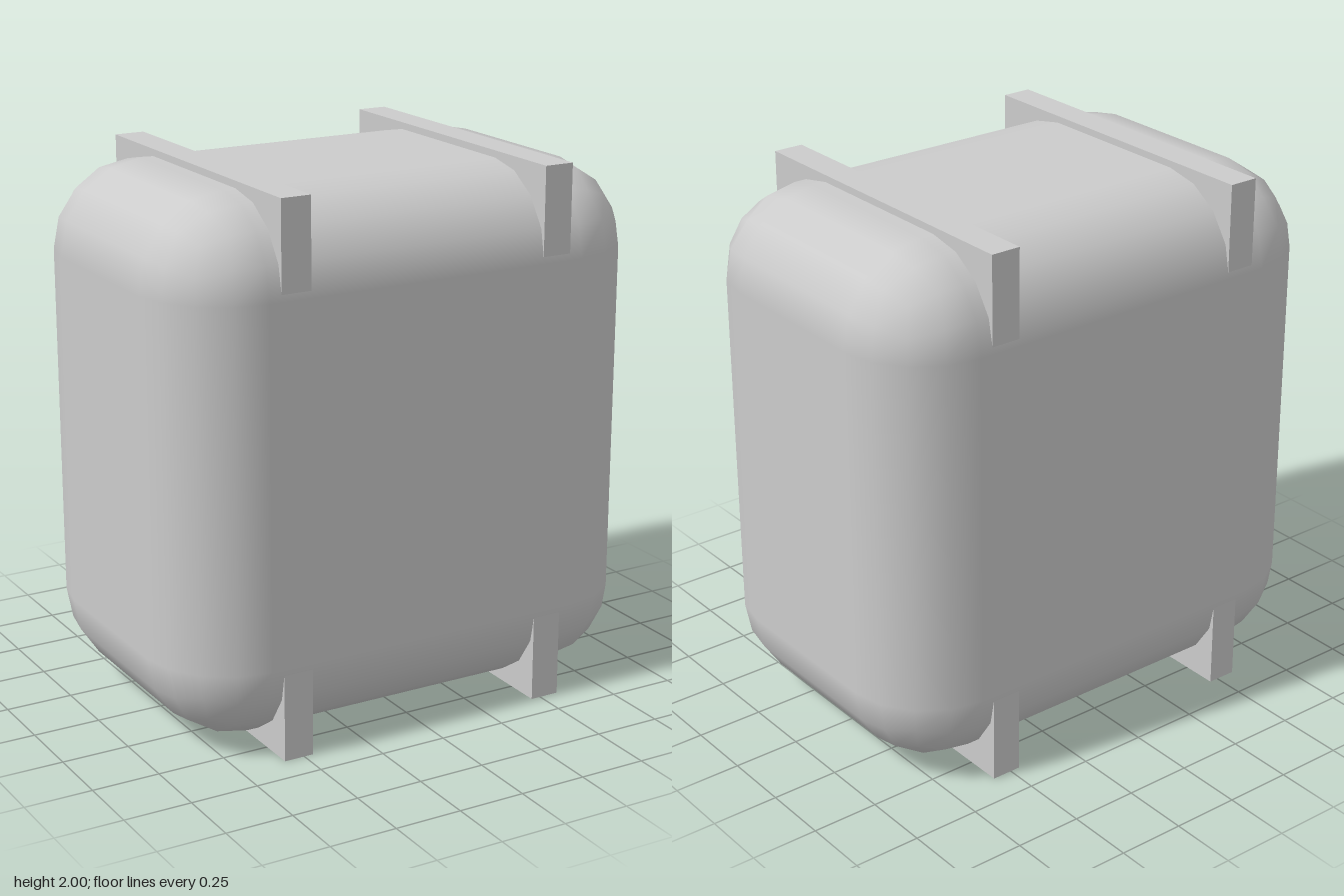
import * as THREE from 'three';

const material = new THREE.MeshStandardMaterial({ color: 0xcccccc });

// Rounded block with four equal-angle facets round every edge and smooth normals
function roundedBlock(hx, hy, hz, radius) {
  const geometry = new THREE.BoxGeometry(1, 1, 1, 5, 5, 5);
  const angles = [-45, -22.5, 0, 0, 22.5, 45].map(THREE.MathUtils.degToRad);
  const core = new THREE.Vector3(hx - radius, hy - radius, hz - radius);
  const position = geometry.attributes.position;
  const point = new THREE.Vector3();
  const direction = new THREE.Vector3();
  for (let i = 0; i < position.count; i++) {
    point.fromBufferAttribute(position, i);
    const steps = point.toArray().map((v) => Math.round((v + 0.5) * 5));
    direction.fromArray(steps.map((k) => Math.tan(angles[k]))).normalize();
    point.fromArray(steps.map((k) => (k < 3 ? -1 : 1))).multiply(core);
    point.addScaledVector(direction, radius);
    position.setXYZ(i, point.x, point.y, point.z);
    geometry.attributes.normal.setXYZ(i, direction.x, direction.y, direction.z);
  }
  return geometry;
}

export function createModel() {
  const group = new THREE.Group();

  // Main rounded body
  const body = new THREE.Mesh(roundedBlock(0.945, 0.974, 0.637, 0.322), material);
  body.name = 'body';
  body.position.y = 1;
  group.add(body);

  // Two square-cornered bands that show past the rounded edges
  for (const [name, x] of [['rightBand', -0.521], ['leftBand', 0.519]]) {
    const band = new THREE.Mesh(new THREE.BoxGeometry(0.112, 2, 1.264), material);
    band.name = name;
    band.position.set(x, 1, 0);
    group.add(band);
  }
  return group;
}
